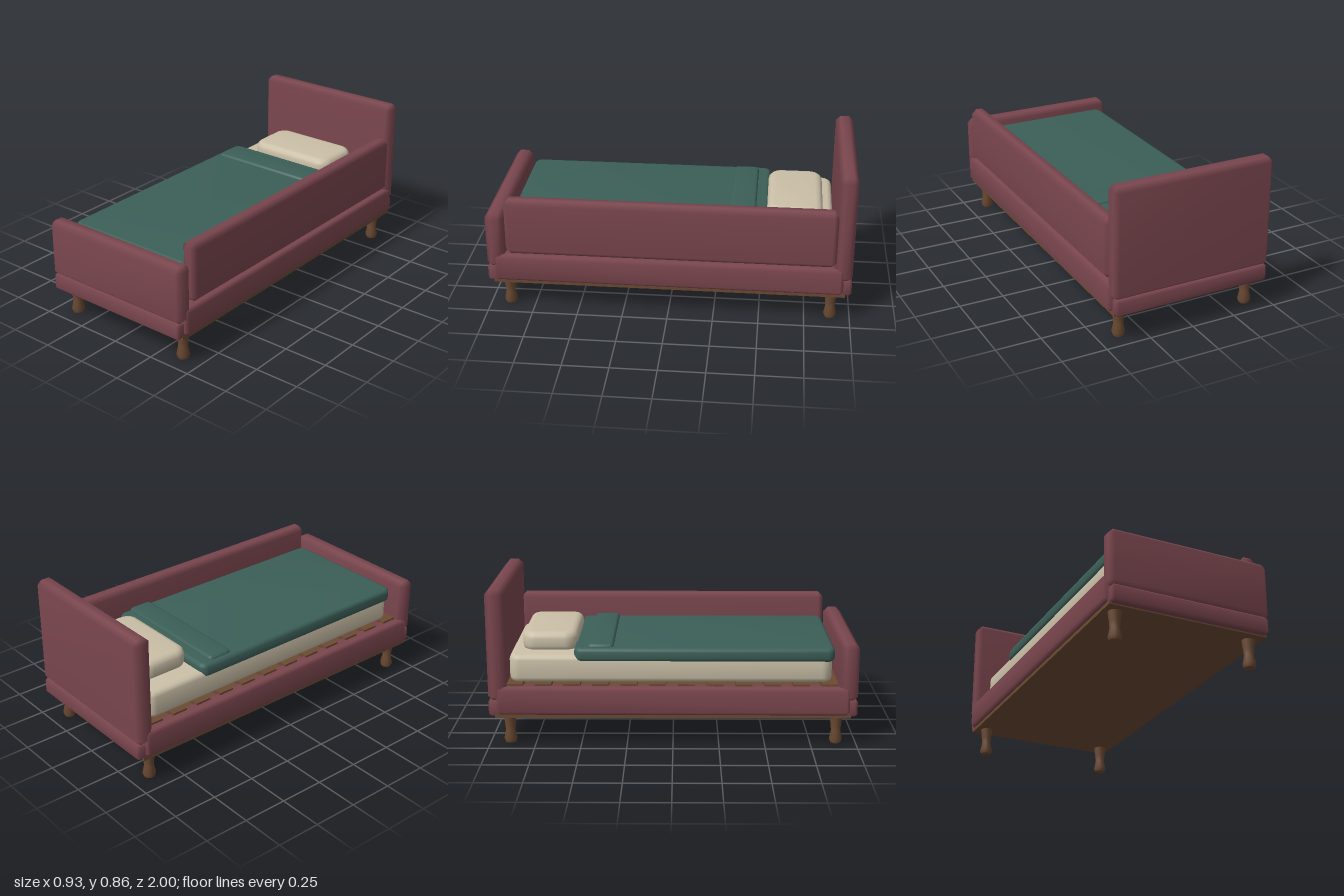
import * as THREE from 'three';
import { ConvexGeometry } from 'three/addons/geometries/ConvexGeometry.js';
import { mergeVertices, toCreasedNormals } from 'three/addons/utils/BufferGeometryUtils.js';

const paint = (color) => new THREE.MeshStandardMaterial({ color });

// Padded panel: a box with chamfered edges, softly shaded; ranges are [min, max]
function paddedBox([x0, x1], [y0, y1], [z0, z1], bevel) {
  const points = [];
  for (const [x, sx] of [[x0, 1], [x1, -1]])
    for (const [y, sy] of [[y0, 1], [y1, -1]])
      for (const [z, sz] of [[z0, 1], [z1, -1]]) {
        const bx = x + sx * bevel, by = y + sy * bevel, bz = z + sz * bevel;
        points.push(new THREE.Vector3(x, by, bz), new THREE.Vector3(bx, y, bz), new THREE.Vector3(bx, by, z));
      }
  const hull = new ConvexGeometry(points);
  hull.deleteAttribute('normal');
  const geometry = mergeVertices(hull, 1e-4);
  geometry.computeVertexNormals();
  return geometry;
}

// Soft slab: rounded rectangle in plan with a rolled top and bottom edge
function softSlab([x0, x1], [y0, y1], [z0, z1], radius, roll) {
  const w = (x1 - x0) / 2 - roll, d = (z1 - z0) / 2 - roll, r = Math.max(radius - roll, 0.005);
  const shape = new THREE.Shape();
  shape.absarc(w - r, d - r, r, 0, Math.PI / 2);
  shape.absarc(r - w, d - r, r, Math.PI / 2, Math.PI);
  shape.absarc(r - w, r - d, r, Math.PI, Math.PI * 1.5);
  shape.absarc(w - r, r - d, r, Math.PI * 1.5, Math.PI * 2);
  const geometry = new THREE.ExtrudeGeometry(shape, {
    depth: y1 - y0 - 2 * roll, bevelEnabled: true, bevelSize: roll,
    bevelThickness: roll, bevelSegments: 3, curveSegments: 4,
  });
  geometry.rotateX(-Math.PI / 2);
  geometry.translate((x0 + x1) / 2, y0 + roll, (z0 + z1) / 2);
  return toCreasedNormals(geometry, 0.7);
}

export function createModel() {
  const group = new THREE.Group();
  const upholstery = paint(0x7a464e), wood = paint(0x6b4a33);
  const linen = paint(0xcbc0a8), cloth = paint(0x3c5f58);

  const add = (name, geometry, material) => {
    const mesh = new THREE.Mesh(geometry, material);
    mesh.name = name;
    group.add(mesh);
    return mesh;
  };

  // Upholstered boards and guard panel
  add('headboard', paddedBox([-0.456, 0.456], [0.25, 0.862], [-1, -0.9], 0.026), upholstery);
  add('footboard', paddedBox([-0.456, 0.456], [0.25, 0.57], [0.9, 1], 0.026), upholstery);
  add('leftGuard', paddedBox([0.373, 0.465], [0.338, 0.665], [-0.91, 0.89], 0.027), upholstery);

  // Lower frame rails
  add('frontRail', paddedBox([-0.446, 0.446], [0.162, 0.257], [0.9, 1], 0.014), upholstery);
  add('backRail', paddedBox([-0.446, 0.446], [0.162, 0.257], [-1, -0.9], 0.014), upholstery);
  add('leftRail', paddedBox([0.375, 0.467], [0.175, 0.328], [-0.953, 0.955], 0.018), upholstery);
  add('rightRail', paddedBox([-0.467, -0.375], [0.175, 0.328], [-0.953, 0.955], 0.018), upholstery);

  // Wooden base board
  const base = add('baseBoard', new THREE.BoxGeometry(0.89, 0.025, 1.93), wood);
  base.position.y = 0.1675;

  // Slats across the side rails
  const slatGeometry = new THREE.BoxGeometry(0.81, 0.022, 0.09);
  for (let i = 0; i < 12; i++) {
    const slat = add('slat', slatGeometry, wood);
    slat.position.set(-0.01, 0.328, -0.86 + i * 0.1555);
  }

  // Turned legs
  const profile = [[0, 0], [0.029, 0], [0.036, 0.02], [0.026, 0.07], [0.029, 0.1], [0.036, 0.16], [0, 0.16]];
  const legGeometry = toCreasedNormals(
    new THREE.LatheGeometry(profile.map(([r, y]) => new THREE.Vector2(r, y)), 12), 0.8);
  for (const x of [-0.381, 0.381])
    for (const z of [-0.892, 0.892])
      add('leg', legGeometry, wood).position.set(x, 0, z);

  // Bedding
  add('mattress', softSlab([-0.39, 0.37], [0.338, 0.49], [-0.89, 0.865], 0.06, 0.028), linen);
  add('pillow', softSlab([-0.27, 0.265], [0.475, 0.587], [-0.83, -0.525], 0.075, 0.036), linen);
  add('blanket', softSlab([-0.398, 0.373], [0.455, 0.533], [-0.536, 0.876], 0.045, 0.022), cloth);
  add('blanketFold', softSlab([-0.37, 0.366], [0.51, 0.548], [-0.465, -0.322], 0.025, 0.015), cloth);

  return group;
}
